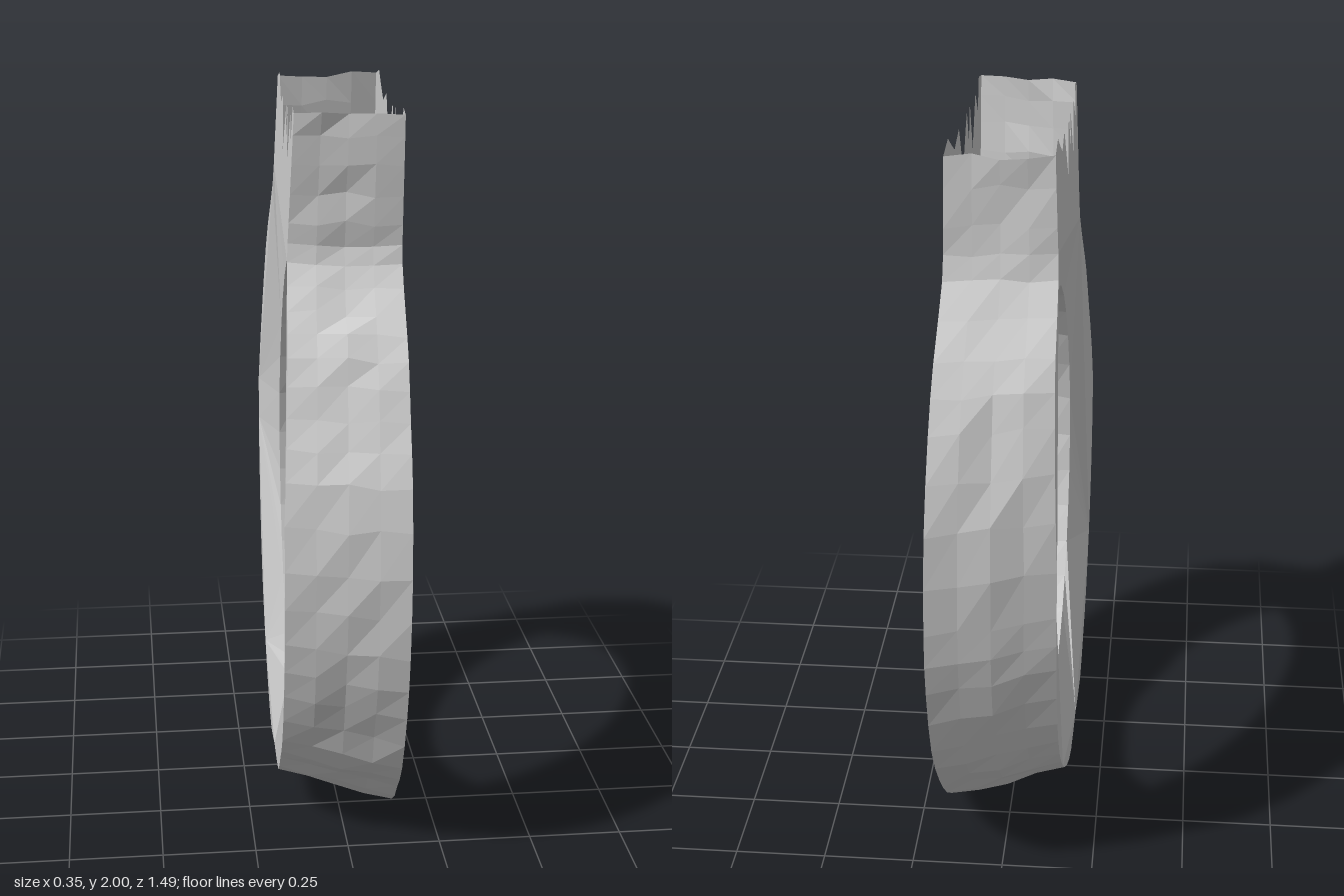
import * as THREE from 'three';

const material = new THREE.MeshStandardMaterial({ color: 0xcccccc, flatShading: true, side: THREE.DoubleSide });

// Repeatable noise in -1..1 taken from a position
const noise = (a, b, c) => {
  const s = Math.sin(a * 127.1 + b * 311.7 + c * 74.7) * 43758.5453;
  return 2 * (s - Math.floor(s)) - 1;
};

// Places an outline point (z, y) on the wide face (t = 1) or the narrow face (t = 0);
// dish sinks the narrow face towards the finger hole
function place(p, t, dish) {
  const wide = new THREE.Vector3(0.152 - 0.027 * p.x, p.y, p.x);
  const z = p.x * 0.89 + 0.2 * Math.max(0, -p.x - 0.55);
  const y = p.y < 0.87 ? 0.87 + (p.y - 0.87) * 0.89 : p.y;
  const lean = 0.045 * Math.max(0, y - 1) * (dish ? 0.3 : 1);
  const narrow = new THREE.Vector3(-0.166 - 0.02 * z + lean + dish, y, z);
  return narrow.lerp(wide, t);
}

// Faceted strip running along an outline, from the narrow to the wide face
function band(name, outline, rough, dish) {
  const columns = 4, positions = [], index = [];
  outline.forEach((p, i) => {
    for (let j = 0; j <= columns; j++) {
      const t = j / columns;
      const v = place(p, t, dish);
      const amount = rough * Math.sin(Math.PI * t);
      v.y += amount * noise(v.x, v.y, v.z);
      v.z += amount * noise(v.z, v.x, v.y);
      positions.push(v.x, v.y, v.z);
      if (i < outline.length - 1 && j < columns) {
        const a = i * (columns + 1) + j, b = a + columns + 1;
        index.push(a, b, a + 1, a + 1, b, b + 1);
      }
    }
  });
  const geometry = new THREE.BufferGeometry();
  geometry.setAttribute('position', new THREE.Float32BufferAttribute(positions, 3));
  geometry.setIndex(index);
  geometry.computeVertexNormals();
  const mesh = new THREE.Mesh(geometry, material);
  mesh.name = name;
  return mesh;
}

// Face with the finger hole and the broken upper edge
function face(name, outline, hole, t, dish) {
  const shape = new THREE.Shape(outline);
  shape.holes.push(new THREE.Path(hole));
  const geometry = new THREE.ShapeGeometry(shape);
  const pos = geometry.attributes.position;
  for (let i = 0; i < pos.count; i++) {
    const p = new THREE.Vector2(pos.getX(i), pos.getY(i));
    const onHole = hole.some((h) => h.distanceTo(p) < 1e-4);
    const v = place(p, t, onHole ? dish : 0);
    pos.setXYZ(i, v.x, v.y, v.z);
  }
  if (t === 1) geometry.index.array.reverse();
  geometry.computeVertexNormals();
  const mesh = new THREE.Mesh(geometry, material);
  mesh.name = name;
  return mesh;
}

const points = (list) => list.map(([z, y]) => new THREE.Vector2(z, y));

export function createModel() {
  const group = new THREE.Group();
  group.name = 'brokenRing';

  // Outer outline from the front of the collar, under the ring, to its back
  const coarse = points([
    [0.47, 1.98], [0.455, 1.85], [0.435, 1.7], [0.435, 1.6], [0.52, 1.49], [0.6, 1.39], [0.66, 1.25],
    [0.72, 1.1], [0.745, 0.87], [0.72, 0.64], [0.66, 0.45], [0.56, 0.26], [0.45, 0.15],
    [0.32, 0.045], [0.12, 0.035], [-0.06, 0.005], [-0.23, 0.06], [-0.4, 0.17], [-0.54, 0.31],
    [-0.66, 0.48], [-0.73, 0.7], [-0.745, 0.88], [-0.71, 1.14], [-0.61, 1.37], [-0.5, 1.52],
    [-0.33, 1.67], [-0.3, 1.8], [-0.275, 1.98],
  ]);
  const outer = new THREE.SplineCurve(coarse).getPoints((coarse.length - 1) * 2);

  // Jagged open rim, back to front
  const rim = points([
    [-0.19, 2], [-0.14, 1.97], [-0.075, 1.935], [0.01, 1.965], [0.08, 1.83], [0.14, 1.93],
    [0.165, 1.965], [0.2, 1.87], [0.225, 1.97], [0.275, 1.83], [0.34, 1.965], [0.39, 1.9], [0.415, 1.99],
  ]);

  // Finger hole
  const hole = [];
  const steps = 32;
  for (let i = 0; i <= steps; i++) {
    const a = ((i % steps) / steps) * Math.PI * 2;
    hole.push(new THREE.Vector2(0.535 * Math.cos(a), 0.875 + 0.645 * Math.sin(a)));
  }

  const outline = [...outer, ...rim];
  const dish = 0.055;
  group.add(
    band('outerBand', outer, 0.01, 0),
    band('innerBand', hole, 0.01, dish),
    face('wideFace', outline, hole.slice(0, -1), 1, 0),
    face('narrowFace', outline, hole.slice(0, -1), 0, dish),
  );
  return group;
}
